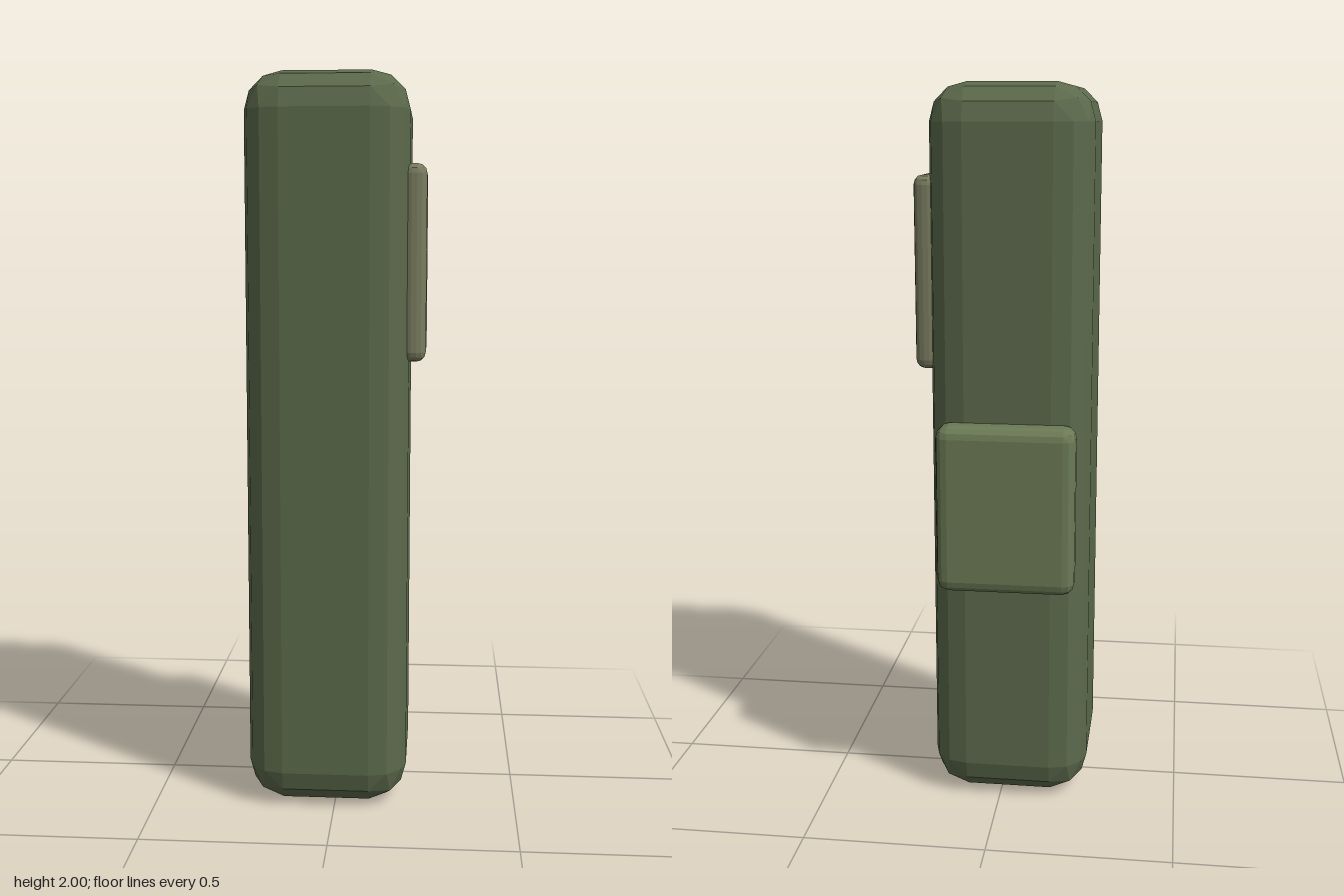
import * as THREE from 'three';
import { ConvexGeometry } from 'three/addons/geometries/ConvexGeometry.js';

// Box between two corners, every edge bevelled in three flat steps
function bevelledBox(name, min, max, radius, color) {
  const size = max.map((v, i) => v - min[i]);
  const centre = max.map((v, i) => (v + min[i]) / 2);
  const steps = 3;
  const points = [];
  for (const sx of [-1, 1]) for (const sy of [-1, 1]) for (const sz of [-1, 1]) {
    for (let i = 0; i <= steps; i++) for (let j = 0; j <= steps - i; j++) {
      // Direction within one octant of the corner sphere
      const d = new THREE.Vector3(...[i, j, steps - i - j].map(
        (n) => Math.sin((n / steps) * Math.PI / 2))).normalize();
      points.push(new THREE.Vector3(
        sx * (size[0] / 2 - radius + radius * d.x),
        sy * (size[1] / 2 - radius + radius * d.y),
        sz * (size[2] / 2 - radius + radius * d.z)));
    }
  }
  const material = new THREE.MeshStandardMaterial({ color, flatShading: true });
  const mesh = new THREE.Mesh(new ConvexGeometry(points), material);
  mesh.name = name;
  mesh.position.set(...centre);
  return mesh;
}

export function createModel() {
  const group = new THREE.Group();
  group.name = 'bevelledPillar';
  group.add(
    // Tall main block
    bevelledBox('body', [-0.244, 0, -0.213], [0.197, 2, 0.282], 0.102, 0x5c6a4c),
    // Upper plate on the left side
    bevelledBox('sidePlate', [0.175, 1.235, -0.133], [0.242, 1.76, 0.203], 0.026, 0x7a7d60),
    // Lower plate on the back
    bevelledBox('backPlate', [-0.212, 0.643, -0.283], [0.165, 1.107, -0.18], 0.032, 0x6b7a55),
  );
  return group;
}
